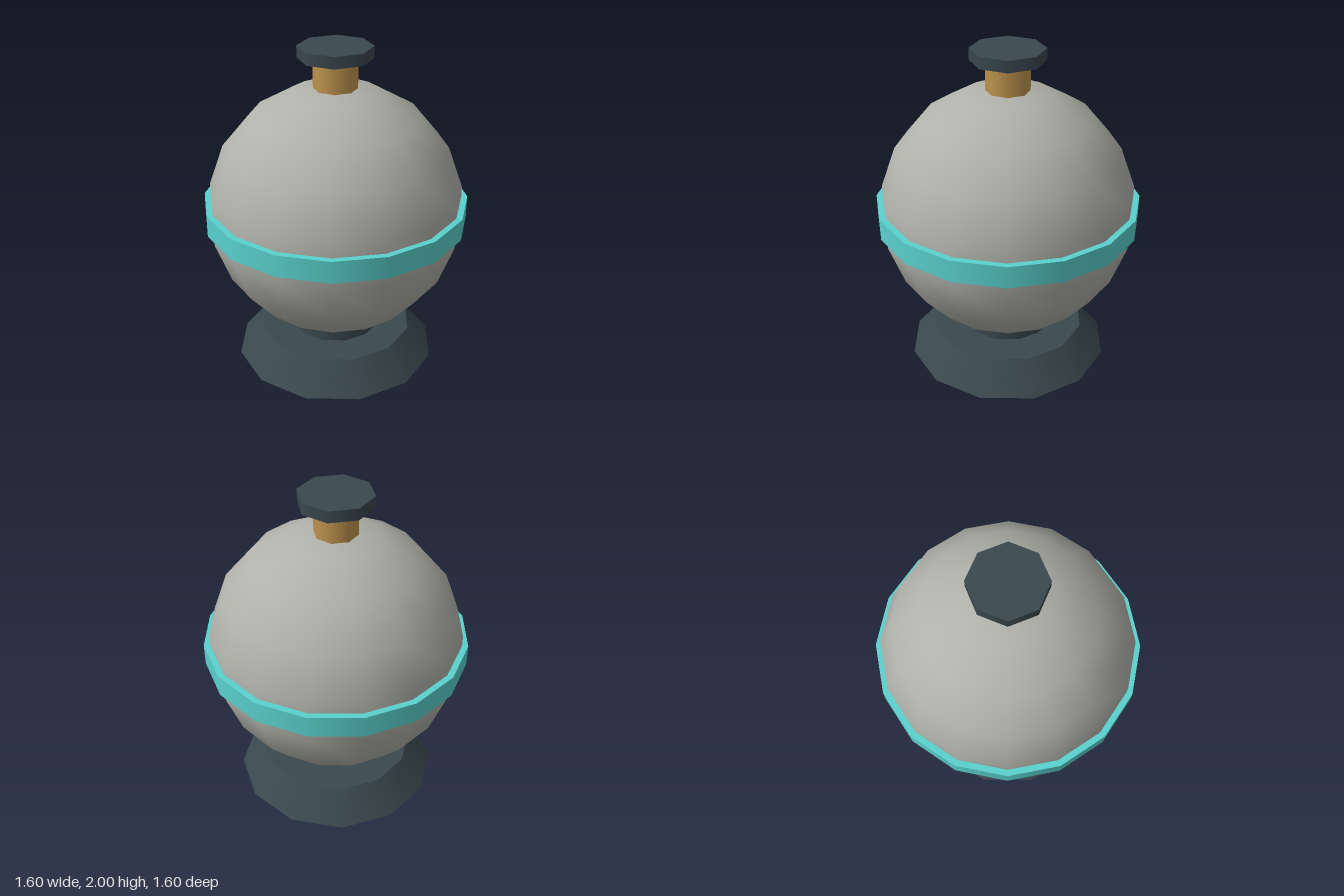
import * as THREE from 'three';

export function createModel() {
  const model = new THREE.Group();
  const mat = (name, color) => {
    const m = new THREE.MeshStandardMaterial({ color });
    m.name = name;
    return m;
  };
  const slate = mat('dark slate', 0x3a484e);
  const stone = mat('warm grey', 0xb0b2aa);
  const teal = mat('teal', 0x5ad2ce);
  const brass = mat('brass', 0xbf944e);

  const add = (name, geometry, material, y) => {
    const mesh = new THREE.Mesh(geometry, material);
    mesh.name = name;
    mesh.position.y = y;
    model.add(mesh);
  };
  // Upright drum or cone frustum between two heights
  const drum = (name, material, rTop, rBottom, y0, y1, sides) =>
    add(name, new THREE.CylinderGeometry(rTop, rBottom, y1 - y0, sides), material, (y0 + y1) / 2);

  // Stand
  drum('base', slate, 0.48, 0.63, 0, 0.185, 12);
  drum('collar', slate, 0.28, 0.28, 0.185, 0.3, 12);

  // Round body with its equator band
  add('body', new THREE.SphereGeometry(0.775, 16, 9), stone, 1.0);
  drum('equatorBand', teal, 0.8, 0.8, 0.935, 1.07, 16);

  // Neck and cap on top
  drum('neck', brass, 0.13, 0.13, 1.7, 1.93, 8);
  drum('cap', slate, 0.22, 0.22, 1.93, 2.0, 8);

  return model;
}
